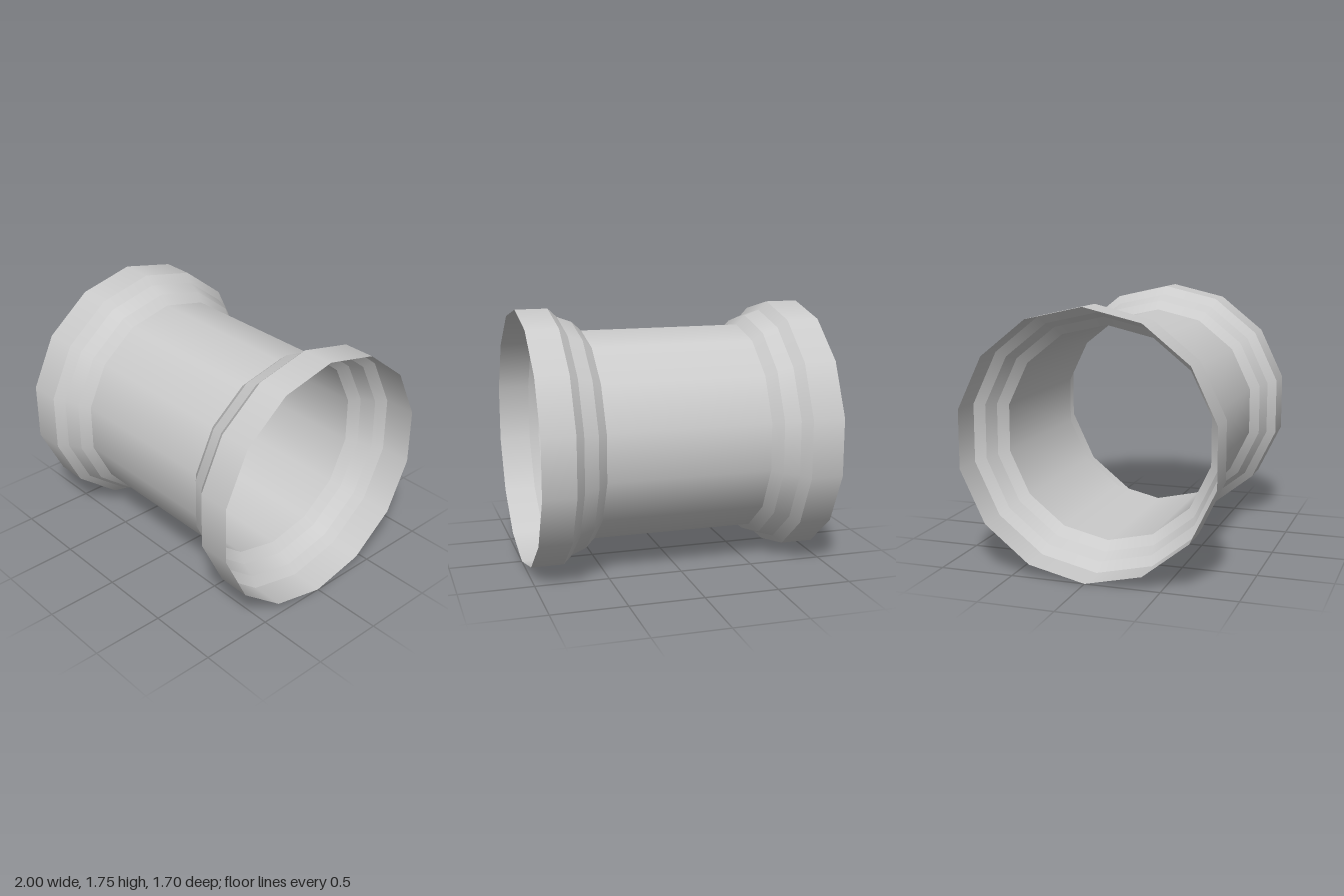
import * as THREE from 'three';

const SIDES = 14;
const RADIUS = 0.873;

export function createModel() {
  const model = new THREE.Group();
  model.name = 'pipeCoupling';
  const material = new THREE.MeshStandardMaterial({ color: 0xcccccc, side: THREE.DoubleSide });

  // One open band of revolution about the y axis: smooth around, sharp at its ends
  const band = (name, [y0, r0], [y1, r1]) => {
    const points = [new THREE.Vector2(r0, y0), new THREE.Vector2(r1, y1)];
    const mesh = new THREE.Mesh(new THREE.LatheGeometry(points, SIDES, Math.PI / 2), material);
    mesh.name = name;
    return mesh;
  };

  // Straight middle pipe, lying along x
  const pipe = band('pipe', [-0.555, 0.718], [0.555, 0.718]);
  pipe.rotation.z = Math.PI / 2;
  model.add(pipe);

  // Stepped socket at each end: [distance from the middle, radius]
  const profile = [[0.555, 0.718], [0.62, 0.778], [0.72, 0.816], [0.78, RADIUS], [1, RADIUS]];
  const names = ['innerTaper', 'shoulder', 'outerTaper', 'collar'];
  for (const side of [1, -1]) {
    const socket = new THREE.Group();
    socket.name = side > 0 ? 'leftSocket' : 'rightSocket';
    names.forEach((name, i) => socket.add(band(name, profile[i], profile[i + 1])));
    socket.rotation.z = -side * Math.PI / 2;
    model.add(socket);
  }

  model.position.y = RADIUS;
  return model;
}
